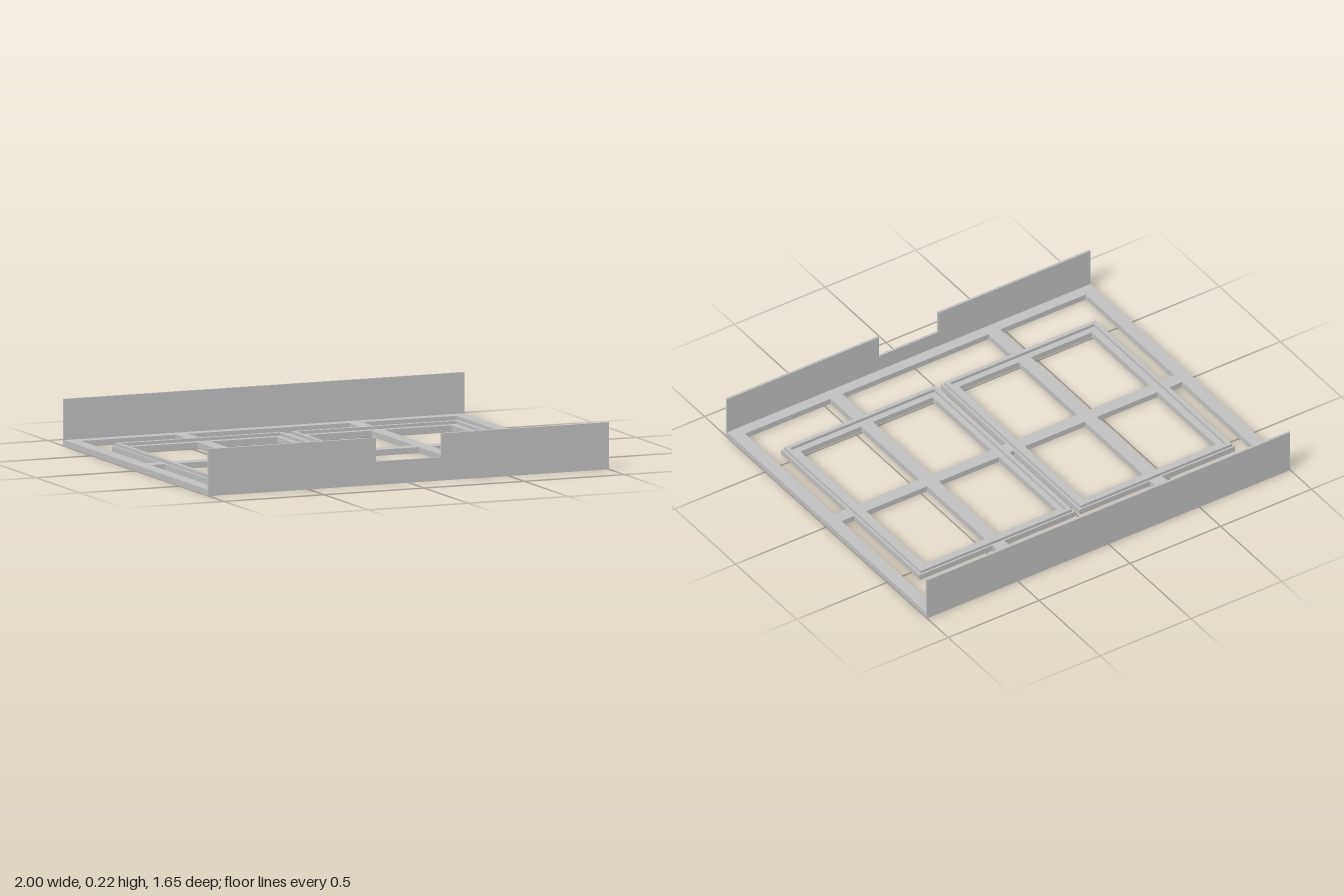
import * as THREE from 'three';

const HALF_Z = 0.826, BASE = 0.028, WALL_TOP = 0.218, WALL_T = 0.012;

const rect = (x0, y0, x1, y1) => [[x0, y0], [x1, y0], [x1, y1], [x0, y1]];

// Extrude an outline with holes along z
function plate(outline, holes, depth) {
  const toPoints = (pts) => pts.map(([x, y]) => new THREE.Vector2(x, y));
  const shape = new THREE.Shape(toPoints(outline));
  for (const h of holes) shape.holes.push(new THREE.Path(toPoints(h)));
  return new THREE.ExtrudeGeometry(shape, { depth, bevelEnabled: false });
}

export function createModel() {
  const model = new THREE.Group();
  model.name = 'trayFrame';
  const grey = new THREE.MeshStandardMaterial({ color: 0xc0c0c0 });
  grey.name = 'light grey';
  const add = (name, geometry) => {
    const mesh = new THREE.Mesh(geometry, grey);
    mesh.name = name;
    model.add(mesh);
    return mesh;
  };

  // Base lattice: border, cross bars and two inner frames in one plate
  const holes = [];
  for (const sz of [1, -1]) {
    // slot between the inner frames, widening towards the border
    holes.push([
      [-0.012, 0.032], [0.012, 0.032], [0.012, 0.568], [0.402, 0.568],
      [0.402, 0.76], [-0.402, 0.76], [-0.402, 0.568], [-0.012, 0.568],
    ].map(([x, z]) => [x, z * sz]));
    for (const sx of [1, -1]) {
      const quarter = [
        // L-shaped opening in the corner
        [[0.868, 0.032], [0.938, 0.032], [0.938, 0.76], [0.467, 0.76], [0.467, 0.568], [0.868, 0.568]],
        // openings inside the inner frame
        rect(0.467, 0.032, 0.802, 0.508),
        rect(0.072, 0.032, 0.402, 0.508),
      ];
      for (const q of quarter) holes.push(q.map(([x, z]) => [x * sx, z * sz]));
    }
  }
  add('baseLattice', plate(rect(-1, -HALF_Z, 1, HALF_Z), holes, BASE).rotateX(-Math.PI / 2));

  // Raised locating rims on the inner frames
  for (const [name, s] of [['leftRim', 1], ['rightRim', -1]]) {
    const c = 0.44 * s;
    const rim = plate(
      rect(c - 0.417, -0.56, c + 0.417, 0.56),
      [rect(c - 0.397, -0.54, c + 0.397, 0.54)],
      0.014,
    ).rotateX(-Math.PI / 2);
    add(name, rim).position.y = BASE;
  }

  // Front wall with a hand notch
  const notched = [
    [-1, BASE], [1, BASE], [1, WALL_TOP], [0.163, WALL_TOP],
    [0.163, 0.108], [-0.163, 0.108], [-0.163, WALL_TOP], [-1, WALL_TOP],
  ];
  add('frontWall', plate(notched, [], WALL_T)).position.z = HALF_Z - WALL_T;

  // Plain back wall
  add('backWall', plate(rect(-1, BASE, 1, WALL_TOP), [], WALL_T)).position.z = -HALF_Z;

  return model;
}
